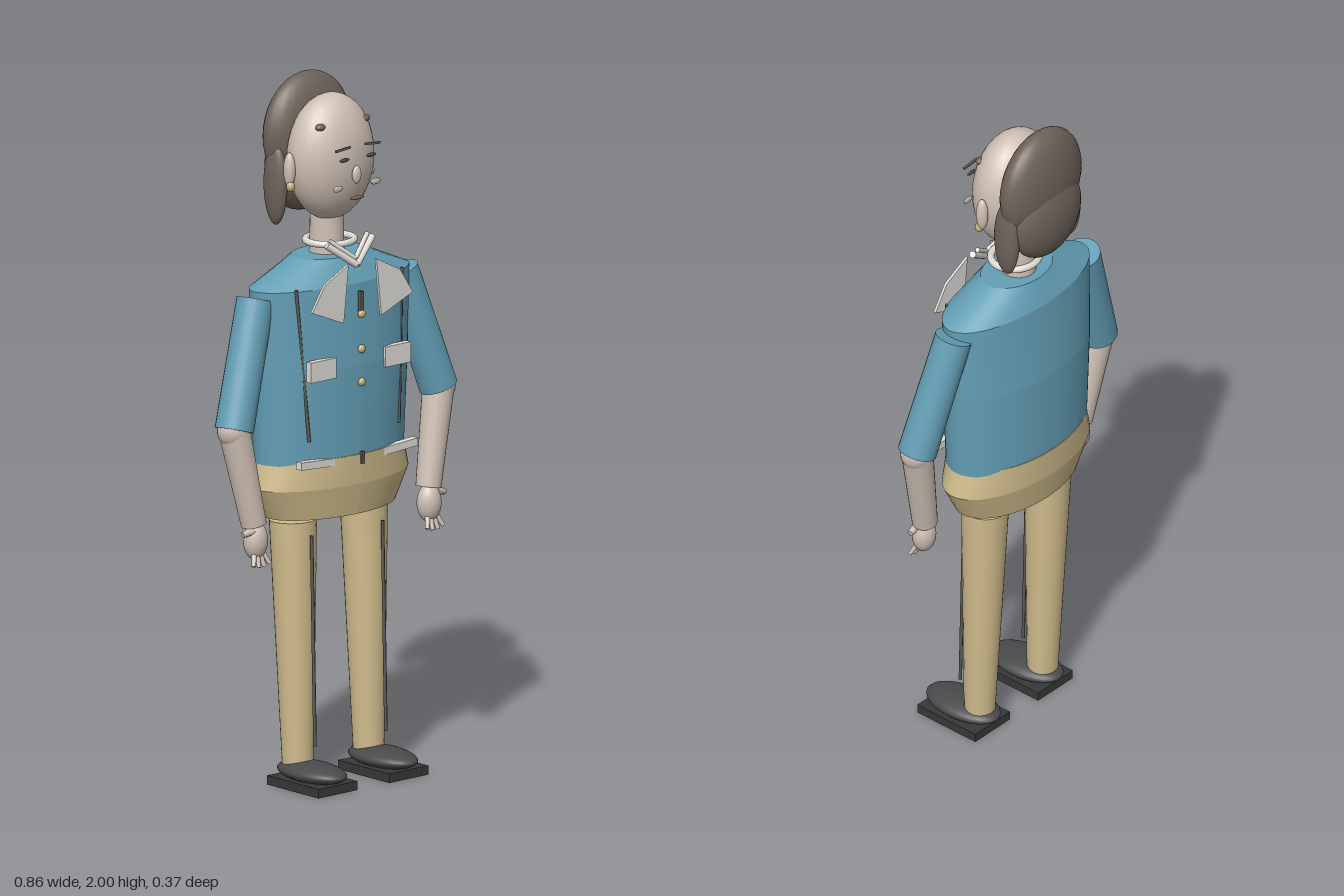
import * as THREE from 'three';

const mat = (color, side = THREE.FrontSide) => new THREE.MeshStandardMaterial({ color, side });
const shirt = mat(0x649fb6), tan = mat(0xd0bc8c), skin = mat(0xcfc0b4), hair = mat(0x6e635a);
const white = mat(0xe0ddd8, THREE.DoubleSide), dark = mat(0x4a4a4d), seam = mat(0x5c5a55), gold = mat(0xc9b27a);
const V = (x, y, z) => new THREE.Vector3(x, y, z);

function add(parent, name, geometry, material, pos = [0, 0, 0], rot = [0, 0, 0]) {
  const mesh = new THREE.Mesh(geometry, material);
  mesh.name = name;
  mesh.position.set(...pos);
  mesh.rotation.set(...rot);
  parent.add(mesh);
  return mesh;
}

// Ellipsoid from centre and three radii
function ball(parent, name, material, pos, radii) {
  const mesh = add(parent, name, new THREE.SphereGeometry(1, 28, 20), material, pos);
  mesh.scale.set(...radii);
  return mesh;
}

function box(parent, name, material, pos, size, rot) {
  return add(parent, name, new THREE.BoxGeometry(...size), material, pos, rot);
}

// Tapered rod between two points
function limb(parent, name, material, a, b, ra, rb, sides = 24) {
  const dir = a.clone().sub(b);
  const mesh = add(parent, name, new THREE.CylinderGeometry(ra, rb, dir.length(), sides), material);
  mesh.position.copy(a).add(b).multiplyScalar(0.5);
  mesh.quaternion.setFromUnitVectors(V(0, 1, 0), dir.normalize());
  return mesh;
}

// Capped elliptical body lofted from rings of [y, halfWidth, halfDepth, zCentre]
function loft(parent, name, material, rings, sides = 48) {
  const pos = [], idx = [];
  const ring = ([y, rx, rz, cz]) => {
    for (let i = 0; i <= sides; i++) {
      const t = (i / sides) * Math.PI * 2;
      pos.push(Math.sin(t) * rx, y, cz + Math.cos(t) * rz);
    }
  };
  const n = sides + 1;
  // each band has its own rings so the edges stay crisp
  for (let k = 0; k < rings.length - 1; k++) {
    const s = pos.length / 3;
    ring(rings[k]);
    ring(rings[k + 1]);
    for (let i = 0; i < sides; i++) {
      const a = s + i, b = a + 1;
      idx.push(a, b, b + n, a, b + n, a + n);
    }
  }
  [[rings[0], false], [rings[rings.length - 1], true]].forEach(([r, top]) => {
    const s = pos.length / 3;
    ring(r);
    pos.push(0, r[0], r[3]);
    for (let i = 0; i < sides; i++) idx.push(s + n, s + (top ? i : i + 1), s + (top ? i + 1 : i));
  });
  const g = new THREE.BufferGeometry();
  g.setAttribute('position', new THREE.Float32BufferAttribute(pos, 3));
  g.setIndex(idx);
  g.computeVertexNormals();
  return add(parent, name, g, material);
}

function makeHead() {
  const head = new THREE.Group();
  head.name = 'head';
  ball(head, 'skull', skin, [0, 1.775, -0.01], [0.138, 0.18, 0.1]);
  ball(head, 'hairCap', hair, [0, 1.83, -0.107], [0.155, 0.17, 0.067]);
  ball(head, 'backHair', hair, [0, 1.735, -0.125], [0.132, 0.135, 0.063]);
  ball(head, 'nose', skin, [0, 1.74, 0.1], [0.015, 0.026, 0.01]);
  ball(head, 'mouth', mat(0x8a6a64), [0, 1.675, 0.102], [0.026, 0.006, 0.004]);
  for (const s of [-1, 1]) {
    ball(head, 'sideHair', hair, [s * 0.128, 1.7, -0.095], [0.025, 0.118, 0.042]);
    ball(head, 'ear', skin, [s * 0.145, 1.755, -0.018], [0.016, 0.05, 0.018]);
    ball(head, 'earring', gold, [s * 0.148, 1.71, -0.01], [0.012, 0.015, 0.012]);
    ball(head, 'eye', dark, [s * 0.05, 1.79, 0.105], [0.018, 0.006, 0.004]);
    box(head, 'eyebrow', hair, [s * 0.055, 1.822, 0.105], [0.055, 0.006, 0.006], [0, 0, -s * 0.08]);
    ball(head, 'cheek', skin, [s * 0.07, 1.71, 0.1], [0.018, 0.009, 0.004]);
    ball(head, 'templeCurl', hair, [s * 0.083, 1.878, 0.042], [0.016, 0.01, 0.012]);
  }
  return head;
}

// One arm on the side s (+1 is the left)
function makeArm(s) {
  const arm = new THREE.Group();
  arm.name = s > 0 ? 'leftArm' : 'rightArm';
  const elbow = V(s * 0.38, 1.055, 0.015), wrist = V(s * 0.325, 0.78, 0.035);
  limb(arm, 'sleeve', shirt, V(s * 0.268, 1.405, -0.022), elbow, 0.053, 0.055);
  ball(arm, 'elbow', skin, elbow.toArray(), [0.05, 0.05, 0.045]);
  limb(arm, 'forearm', skin, elbow, wrist, 0.045, 0.036);
  ball(arm, 'hand', skin, [s * 0.323, 0.735, 0.04], [0.036, 0.055, 0.033]);
  limb(arm, 'thumb', skin, V(s * 0.34, 0.768, 0.05), V(s * 0.375, 0.76, 0.045), 0.012, 0.009, 10);
  for (let i = 0; i < 4; i++) {
    const k = i - 1.5;
    limb(arm, 'finger', skin, V(s * (0.323 + k * 0.011), 0.7, 0.052),
      V(s * (0.323 + k * 0.02), 0.66 + Math.abs(k) * 0.006, 0.066), 0.008, 0.006, 8);
  }
  return arm;
}

function makeLeg(s) {
  const leg = new THREE.Group();
  leg.name = s > 0 ? 'leftLeg' : 'rightLeg';
  const x = s * 0.132;
  limb(leg, 'trouserLeg', tan, V(x, 0.755, -0.018), V(x, 0.06, 0.002), 0.067, 0.044);
  limb(leg, 'crease', seam, V(x, 0.72, 0.06), V(x, 0.12, 0.074), 0.005, 0.005, 6);
  ball(leg, 'shoe', dark, [x, 0.045, 0.062], [0.07, 0.028, 0.124]);
  box(leg, 'sole', mat(0x38383a), [x, 0.013, 0.062], [0.145, 0.026, 0.215]);
  return leg;
}

// Shirt trim on one side
function makeTrim(s) {
  const trim = new THREE.Group();
  trim.name = s > 0 ? 'leftTrim' : 'rightTrim';
  const outline = [[0.052, 1.495], [0.14, 1.45], [0.187, 1.378], [0.07, 1.33]];
  const shape = new THREE.Shape(outline.map(([x, y]) => new THREE.Vector2(s * x, y)));
  add(trim, 'lapel', new THREE.ExtrudeGeometry(shape, { depth: 0.008, bevelEnabled: false }), white, [0, 0, 0.117]);
  box(trim, 'pocketFlap', white, [s * 0.138, 1.205, 0.108], [0.095, 0.058, 0.02]);
  box(trim, 'beltFlap', white, [s * 0.143, 0.937, 0.102], [0.148, 0.022, 0.022], [0, 0, s * 0.06]);
  limb(trim, 'sideSeam', seam, V(s * 0.197, 1.435, 0.068), V(s * 0.167, 1.0, 0.089), 0.005, 0.005, 6);
  // Collar wing leaning forward to the throat
  limb(trim, 'collarWing', white, V(s * 0.085, 1.545, 0.07), V(0, 1.482, 0.1), 0.01, 0.01, 10);
  limb(trim, 'collarEdge', white, V(s * 0.07, 1.555, 0.065), V(0, 1.5, 0.095), 0.007, 0.007, 8);
  return trim;
}

export function createModel() {
  const model = new THREE.Group();
  model.name = 'figure';

  // Body
  loft(model, 'torso', shirt, [
    [0.93, 0.253, 0.137, -0.017], [1.2, 0.268, 0.137, -0.017],
    [1.43, 0.28, 0.117, -0.015], [1.5, 0.12, 0.082, -0.018],
  ]);
  loft(model, 'hips', tan, [
    [0.77, 0.222, 0.12, -0.015], [0.86, 0.27, 0.137, -0.016], [0.945, 0.248, 0.14, -0.017],
  ]);

  // Neck and collar
  limb(model, 'neck', skin, V(0, 1.64, -0.025), V(0, 1.48, -0.025), 0.046, 0.05);
  const collar = add(model, 'collar', new THREE.TorusGeometry(0.066, 0.01, 12, 40), white, [0, 1.535, -0.012], [Math.PI / 2, 0, 0]);
  collar.scale.set(1.05, 1, 1);

  // Front fastening
  for (const y of [1.345, 1.245, 1.15]) ball(model, 'button', gold, [0, y, 0.121], [0.012, 0.012, 0.009]);
  box(model, 'placketTab', seam, [0, 1.38, 0.118], [0.012, 0.06, 0.012]);
  box(model, 'buckle', seam, [0, 0.935, 0.123], [0.012, 0.035, 0.01]);

  for (const s of [-1, 1]) model.add(makeArm(s), makeLeg(s), makeTrim(s));
  model.add(makeHead());
  return model;
}
